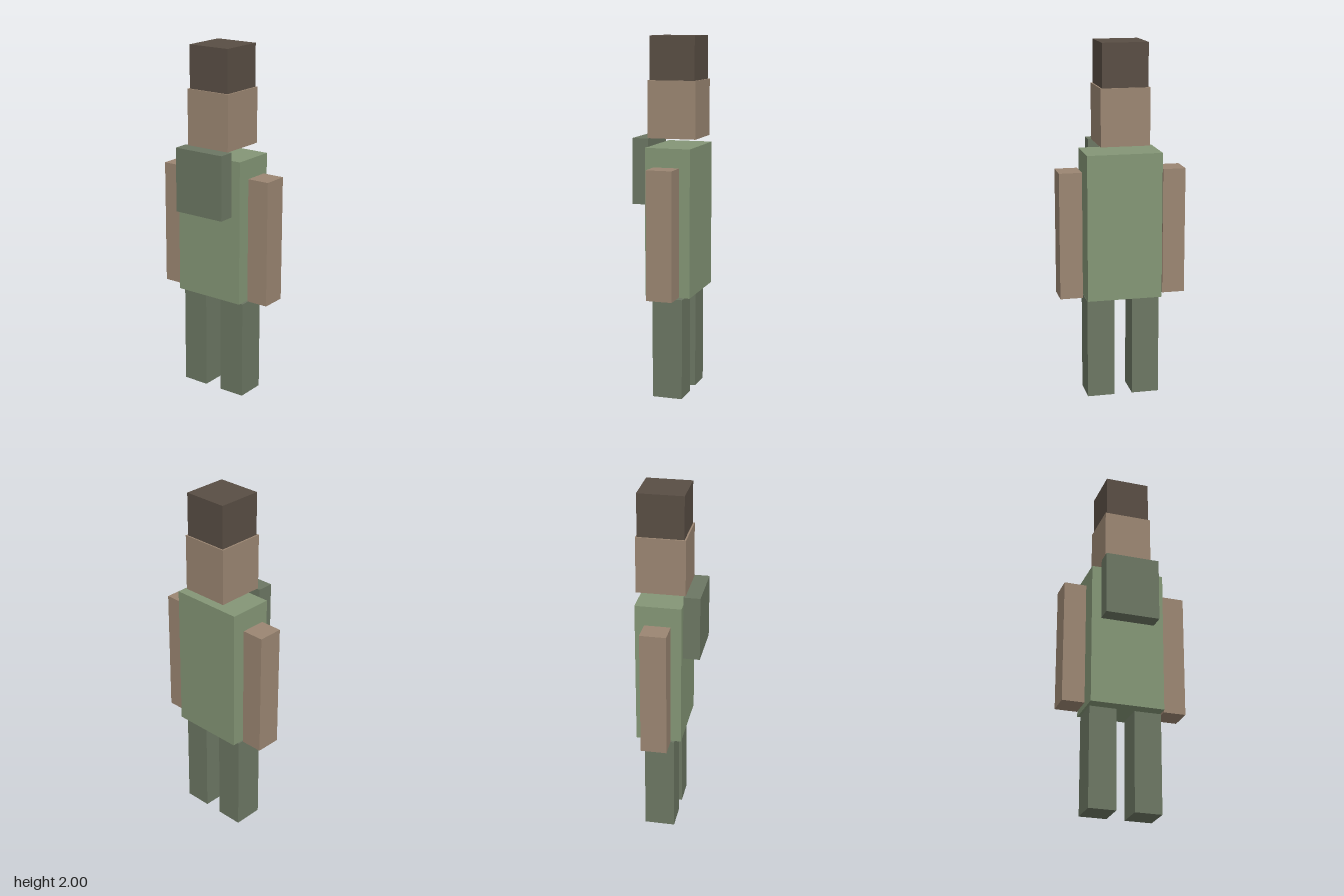
import * as THREE from 'three';

export function createModel() {
  const model = new THREE.Group();
  model.name = 'blockFigure';

  const material = (name, color) => {
    const m = new THREE.MeshStandardMaterial({ color });
    m.name = name;
    return m;
  };
  const skin = material('skin', 0x9b8672);
  const hair = material('darkBrown', 0x594e44);
  const shirt = material('green', 0x849676);
  const cloth = material('darkGreen', 0x6c7763);

  // Box spanning the given [min, max] ranges
  const block = (name, mat, [x0, x1], [y0, y1], [z0, z1]) => {
    const mesh = new THREE.Mesh(new THREE.BoxGeometry(x1 - x0, y1 - y0, z1 - z0), mat);
    mesh.position.set((x0 + x1) / 2, (y0 + y1) / 2, (z0 + z1) / 2);
    mesh.name = name;
    model.add(mesh);
  };

  // Head floats just above the torso, with the hat on top
  block('hat', hair, [-0.127, 0.127], [1.76, 2], [-0.17, 0.085]);
  block('head', skin, [-0.136, 0.136], [1.445, 1.76], [-0.178, 0.094]);

  // Torso and the pouch on the chest
  block('torso', shirt, [-0.21, 0.21], [0.58, 1.4], [-0.17, 0.085]);
  block('chestPouch', cloth, [-0.155, 0.155], [1.08, 1.445], [0.085, 0.177]);

  // Arms and legs, mirrored
  for (const [side, s] of [['left', 1], ['right', -1]]) {
    const span = (a, b) => (s > 0 ? [a, b] : [-b, -a]);
    block(side + 'Arm', skin, span(0.228, 0.355), [0.587, 1.298], [-0.115, 0.03]);
    block(side + 'Leg', cloth, span(0.051, 0.205), [0, 0.567], [-0.125, 0.045]);
  }

  return model;
}
